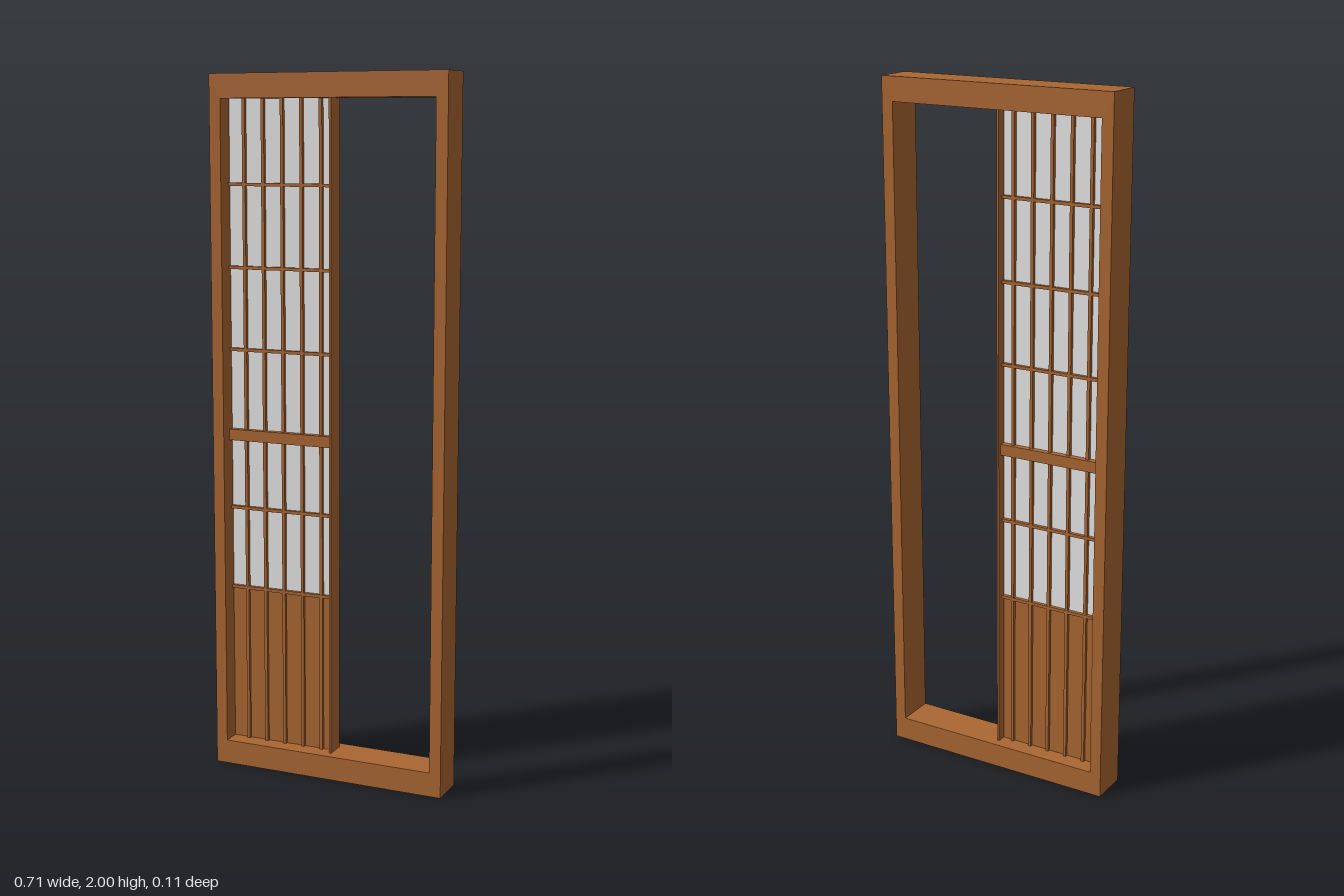
import * as THREE from 'three';

export function createModel() {
  const model = new THREE.Group();
  model.name = 'slidingScreenDoor';
  const wood = new THREE.MeshStandardMaterial({ color: 0xab6733 });
  wood.name = 'brown wood';
  const paper = new THREE.MeshStandardMaterial({ color: 0xe7e7e7 });
  paper.name = 'white paper';

  // Box given by its limits on each axis, centred in depth
  function slab(parent, name, material, x0, x1, y0, y1, depth) {
    const mesh = new THREE.Mesh(new THREE.BoxGeometry(x1 - x0, y1 - y0, depth), material);
    mesh.position.set((x0 + x1) / 2, (y0 + y1) / 2, 0);
    mesh.name = name;
    parent.add(mesh);
  }

  // Outer frame with one rectangular opening
  const W = 0.353, D = 0.112, IN = 0.319, Y0 = 0.07, Y1 = 1.932;
  const outline = new THREE.Shape([[-W, 0], [W, 0], [W, 2], [-W, 2]].map(p => new THREE.Vector2(...p)));
  outline.holes.push(new THREE.Path([[-IN, Y0], [-IN, Y1], [IN, Y1], [IN, Y0]].map(p => new THREE.Vector2(...p))));
  const frameGeometry = new THREE.ExtrudeGeometry(outline, { depth: D, bevelEnabled: false });
  frameGeometry.translate(0, 0, -D / 2);
  const frame = new THREE.Mesh(frameGeometry, wood);
  frame.name = 'outerFrame';
  model.add(frame);

  // Screen filling the -x half of the opening
  const screen = new THREE.Group();
  screen.name = 'screen';
  model.add(screen);
  const boardTop = 0.53;
  slab(screen, 'paperSheet', paper, -IN, 0, boardTop, Y1, 0.004);
  slab(screen, 'lowerBoard', wood, -IN, 0, Y0, boardTop, 0.006);
  slab(screen, 'edgeStile', wood, 0, 0.006, Y0, Y1, 0.062);
  slab(screen, 'middleRail', wood, -IN, 0, 0.967, 0.999, 0.042);

  // Lattice bars on both faces
  for (let i = 0; i < 5; i++) {
    const x = -0.27 + i * 0.059;
    slab(screen, 'verticalBar', wood, x - 0.0045, x + 0.0045, Y0, Y1, 0.024);
  }
  for (const y of [0.53, 0.768, 1.229, 1.463, 1.696]) {
    slab(screen, 'crossBar', wood, -IN, 0, y - 0.0045, y + 0.0045, 0.025);
  }
  return model;
}
